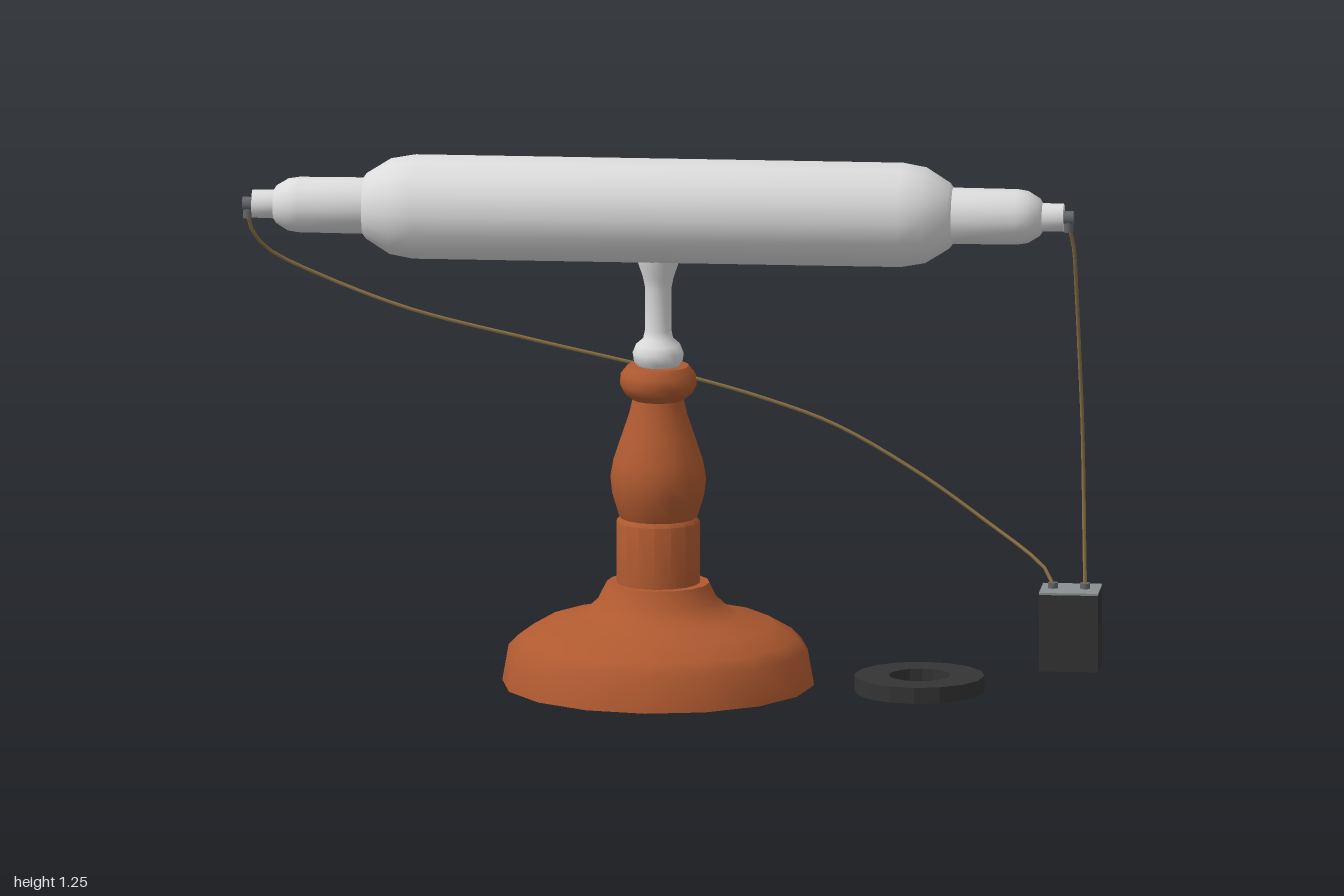
import * as THREE from 'three';
import { toCreasedNormals } from 'three/addons/utils/BufferGeometryUtils.js';

const mat = (name, color, extra = {}) => {
  const m = new THREE.MeshStandardMaterial({ color, ...extra });
  m.name = name;
  return m;
};

export function createModel() {
  const group = new THREE.Group();
  const wood = mat('turned wood', 0xb05a30);
  const white = mat('white enamel', 0xdcdcdc);
  const steel = mat('terminal grey', 0x66686a);
  const plate = mat('plate grey', 0x8c8f91);
  const dark = mat('charcoal', 0x343434);
  const cord = mat('tan cord', 0x8c7446);

  const add = (name, geometry, material, x = 0, y = 0, z = 0) => {
    const mesh = new THREE.Mesh(geometry, material);
    mesh.name = name;
    mesh.position.set(x, y, z);
    group.add(mesh);
    return mesh;
  };
  const lathe = (points, crease = 0.75, sides = 16) => toCreasedNormals(
    new THREE.LatheGeometry(points.map(([r, y]) => new THREE.Vector2(r, y)), sides), crease);
  const CX = -0.02, CZ = -0.06, AXIS = 1.123;

  // Turned wooden stand: foot, square-shouldered neck, baluster and collar
  add('woodenFoot', lathe([
    [0, 0], [0.365, 0], [0.35, 0.085], [0.325, 0.11], [0.27, 0.142], [0.19, 0.162],
    [0.16, 0.18], [0.14, 0.2], [0.12, 0.24], [0, 0.24],
  ]), wood, CX, 0, CZ);
  add('woodenNeck', lathe([[0.098, 0.23], [0.098, 0.385], [0.09, 0.395], [0, 0.395]]), wood, CX, 0, CZ);
  add('woodenBaluster', lathe([
    [0.085, 0.385], [0.093, 0.4], [0.108, 0.45], [0.112, 0.49], [0.105, 0.53], [0.085, 0.59],
    [0.068, 0.64], [0.06, 0.675], [0.08, 0.69], [0.09, 0.71], [0.088, 0.735], [0.072, 0.755], [0, 0.757],
  ]), wood, CX, 0, CZ);

  // Pale stem carrying the tube
  add('stem', lathe([
    [0.045, 0.75], [0.057, 0.765], [0.06, 0.785], [0.052, 0.805], [0.035, 0.82], [0.031, 0.84],
    [0.031, 0.94], [0.036, 0.965], [0.048, 1.0], [0.052, 1.03],
  ]), white, CX, 0, CZ);

  // Horizontal tube: one mirrored half profile, [radius, distance from the middle]
  const half = [
    [0, 0.95], [0.033, 0.95], [0.034, 0.9], [0.045, 0.893], [0.062, 0.865], [0.066, 0.84],
    [0.067, 0.69], [0.078, 0.682], [0.114, 0.625], [0.124, 0.57],
  ];
  const profile = [...half.map(([r, d]) => [r, -d]), ...half.slice().reverse()];
  add('tube', lathe(profile), white, CX, AXIS, CZ).rotation.z = -Math.PI / 2;

  // End terminals: round pin with a small socket hanging below
  for (const side of [-1, 1]) {
    const x = CX + side * 0.96;
    add('tubeTerminalPin', new THREE.CylinderGeometry(0.016, 0.016, 0.026, 10), steel, x, AXIS, CZ)
      .rotation.z = Math.PI / 2;
    add('tubeTerminalSocket', new THREE.CylinderGeometry(0.012, 0.012, 0.036, 8), steel, x, AXIS - 0.016, CZ);
  }

  // Supply box with top plate and two posts
  add('supplyBox', new THREE.BoxGeometry(0.138, 0.182, 0.118), dark, 0.931, 0.111, -0.222);
  add('supplyBoxTop', new THREE.BoxGeometry(0.138, 0.005, 0.118), plate, 0.931, 0.2045, -0.222);
  for (const x of [0.89, 0.965]) {
    add('supplyPost', new THREE.CylinderGeometry(0.012, 0.012, 0.014, 10), steel, x, 0.213, -0.225);
  }

  // Two slack wires
  const wire = (name, points) => {
    const curve = new THREE.CatmullRomCurve3(points.map((p) => new THREE.Vector3(...p)));
    add(name, new THREE.TubeGeometry(curve, 48, 0.0045, 6), cord);
  };
  wire('longWire', [
    [-0.982, 1.1, -0.06], [-0.97, 1.05, -0.085], [-0.935, 1.0, -0.125], [-0.81, 0.93, -0.168],
    [-0.61, 0.853, -0.185], [-0.33, 0.775, -0.235], [0, 0.69, -0.288], [0.2, 0.63, -0.315],
    [0.37, 0.567, -0.325], [0.56, 0.46, -0.322], [0.72, 0.352, -0.303], [0.87, 0.25, -0.24],
    [0.89, 0.215, -0.225],
  ]);
  wire('shortWire', [
    [0.942, 1.1, -0.06], [0.95, 1.05, -0.085], [0.952, 0.93, -0.142], [0.954, 0.77, -0.2],
    [0.957, 0.6, -0.243], [0.959, 0.45, -0.254], [0.962, 0.315, -0.24], [0.965, 0.215, -0.225],
  ]);

  // Loose ring beside the stand
  add('ring', lathe([
    [0.072, -0.019], [0.152, -0.019], [0.152, 0.019], [0.072, 0.019], [0.072, -0.019],
  ], 0.3), dark, 0.62, 0.078, 0.272);

  return group;
}
